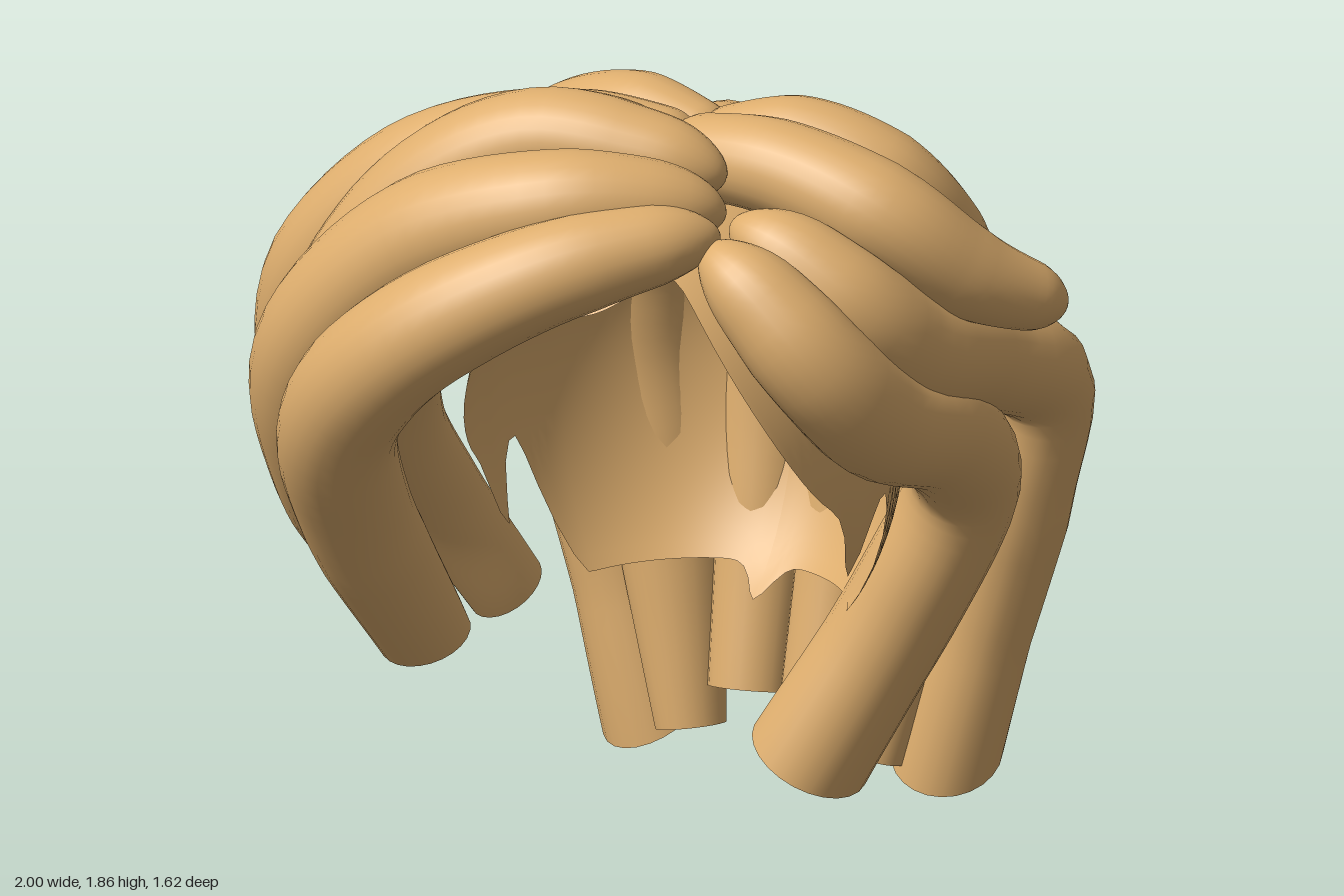
import * as THREE from 'three';

const hair = new THREE.MeshStandardMaterial({ color: 0xdeae6e });
const lining = new THREE.MeshStandardMaterial({ color: 0xdeae6e, side: THREE.DoubleSide });
const HEAD = new THREE.Vector3(0.12, 1.0, -0.05);
const MIRROR = 0.25; // the crown is symmetric about x = 0.125

// Linear lookup in a short list of values
function sample(list, t) {
  const f = t * (list.length - 1), i = Math.min(Math.floor(f), list.length - 2);
  return THREE.MathUtils.lerp(list[i], list[i + 1], f - i);
}

// One lock: an ellipse swept along a curve, its flat side facing the head.
// slant tilts the cut end along z; round closes the tip instead.
function lock(name, points, widths, { slant = 0, round = false } = {}) {
  const curve = new THREE.CatmullRomCurve3(points.map(p => new THREE.Vector3(...p)), false, 'centripetal');
  const rows = 56, sides = 24, pos = [], idx = [];
  const ring = (P, T, side, N, w, shear) => {
    for (let j = 0; j < sides; j++) {
      const a = (j / sides) * Math.PI * 2;
      const off = side.clone().multiplyScalar(Math.cos(a) * w).addScaledVector(N, Math.sin(a) * w * 0.95);
      off.addScaledVector(T, off.z * shear).add(P);
      pos.push(off.x, off.y, off.z);
    }
  };
  const dome = (t, len) => (t >= len ? 1 : Math.sqrt(Math.max(1e-4, 1 - (1 - t / len) ** 2)));
  let P, T, N, side, w;
  for (let i = 0; i <= rows; i++) {
    // rows are packed toward both ends so the rounding is smooth
    const t = 0.5 - 0.5 * Math.cos((i / rows) * Math.PI);
    P = curve.getPointAt(t);
    T = curve.getTangentAt(t);
    N = P.clone().sub(HEAD);
    N.addScaledVector(T, -N.dot(T)).normalize();
    side = N.clone().cross(T);
    w = sample(widths, t) * dome(t, 0.09) * (round ? dome(1 - t, 0.09) : 1);
    ring(P, T, side, N, w, slant * t ** 8);
  }
  for (let i = 0; i < rows; i++) {
    for (let j = 0; j < sides; j++) {
      const a = i * sides + j, b = i * sides + ((j + 1) % sides);
      idx.push(a, b, a + sides, b, b + sides, a + sides);
    }
  }
  // separate ring keeps the cut end crisp
  const base = pos.length / 3;
  ring(P, T, side, N, w, slant);
  pos.push(P.x, P.y, P.z);
  for (let j = 0; j < sides; j++) idx.push(base + sides, base + j, base + ((j + 1) % sides));

  const geo = new THREE.BufferGeometry();
  geo.setAttribute('position', new THREE.Float32BufferAttribute(pos, 3));
  geo.setIndex(idx);
  geo.computeVertexNormals();
  const mesh = new THREE.Mesh(geo, hair);
  mesh.name = name;
  return mesh;
}

// Thin cap under the locks, open at the face, with pointed lower edges
function scalpCap() {
  const geo = new THREE.SphereGeometry(1, 120, 32, 0, Math.PI * 2, 0, 3);
  const p = geo.attributes.position, uv = geo.attributes.uv;
  const { lerp, smoothstep, clamp } = THREE.MathUtils;
  const bump = (x, c, s) => Math.exp(-(((x - c) / s) ** 2));
  for (let i = 0; i < p.count; i++) {
    const a = (uv.getX(i) - 0.5) * Math.PI * 2, s = Math.abs(a); // 0 is the face
    let rim = lerp(1.4, 0.88, smoothstep(s, 0.5, 1.35));
    rim = lerp(rim, 0.53, smoothstep(s, 1.65, 1.95));
    rim += 0.08 * bump(a, 0.45, 0.3) - 0.19 * bump(s, 1.46, 0.1) - 0.07 * bump(s, Math.PI, 0.12);
    const vMax = Math.acos(clamp((rim - 1) / 0.62, -0.95, 0.95));
    const v = (1 - uv.getY(i)) * vMax;
    const r = v < Math.PI / 2 ? Math.sin(v) : Math.sin(v) ** 0.75;
    const deep = 0.56 + 0.16 * Math.max(0, Math.cos(a));
    p.setXYZ(i, 0.11 + 0.5 * r * Math.sin(a), 1 + 0.62 * Math.cos(v), -0.05 + deep * r * Math.cos(a));
  }
  geo.computeVertexNormals();
  const mesh = new THREE.Mesh(geo, lining);
  mesh.name = 'scalpCap';
  return mesh;
}

export function createModel() {
  const group = new THREE.Group();
  group.name = 'hair';
  group.add(scalpCap());

  const one = (...args) => group.add(lock(...args));
  const both = (name, points, widths, options) => {
    one(name + 'Left', points, widths, options);
    one(name + 'Right', points.map(([x, y, z]) => [MIRROR - x, y, z]), widths, options);
  };

  // Fringe swept across the forehead
  one('fringeFront',
    [[0.38, 1.6, 0.32], [0.26, 1.59, 0.44], [0.03, 1.52, 0.6], [-0.27, 1.34, 0.67], [-0.49, 1.1, 0.58],
      [-0.56, 0.82, 0.38], [-0.52, 0.41, 0.08]],
    [0.08, 0.12, 0.14, 0.15, 0.15, 0.14, 0.115], { slant: -0.3 });
  one('fringeMiddle',
    [[0.35, 1.62, 0.23], [0.24, 1.65, 0.31], [0, 1.655, 0.44], [-0.35, 1.52, 0.46], [-0.65, 1.2, 0.4],
      [-0.72, 0.85, 0.2], [-0.735, 0.48, -0.14]],
    [0.09, 0.13, 0.15, 0.15, 0.15, 0.14, 0.115], { slant: -0.3 });
  one('fringeUpper',
    [[0.31, 1.68, 0.15], [0.1, 1.73, 0.2], [-0.14, 1.74, 0.24], [-0.4, 1.6, 0.29], [-0.65, 1.27, 0.31],
      [-0.75, 1.0, 0.18], [-0.77, 0.75, 0]],
    [0.09, 0.12, 0.13, 0.13, 0.12, 0.11, 0.06], { round: true });
  one('fringeBack',
    [[0.18, 1.67, 0.06], [-0.1, 1.71, 0.13], [-0.45, 1.61, 0.19], [-0.74, 1.32, 0.18], [-0.82, 1.02, 0.08],
      [-0.82, 0.76, -0.14], [-0.9, 0.5, -0.42]],
    [0.1, 0.13, 0.14, 0.14, 0.13, 0.12, 0.115], { slant: -0.2 });

  // Short flicked locks over the crown
  both('crownFront',
    [[0.08, 1.67, 0], [0.38, 1.68, 0.02], [0.66, 1.595, 0.01], [0.82, 1.44, -0.12], [0.97, 1.33, -0.31]],
    [0.1, 0.12, 0.13, 0.115, 0.07], { round: true });
  both('crownBack',
    [[0.08, 1.65, -0.14], [0.35, 1.68, -0.18], [0.55, 1.6, -0.23], [0.65, 1.44, -0.36], [0.71, 1.24, -0.47]],
    [0.08, 0.115, 0.12, 0.09, 0.03], { round: true });

  // Long locks running round the side and down
  one('sideFrontLeft',
    [[0.36, 1.58, 0.36], [0.5, 1.48, 0.37], [0.65, 1.31, 0.33], [0.71, 1.14, 0.15], [0.73, 1.03, -0.13],
      [0.68, 0.85, -0.36], [0.53, 0.55, -0.38], [0.29, 0.12, -0.32]],
    [0.09, 0.13, 0.14, 0.14, 0.14, 0.145, 0.145, 0.155], { slant: 0.2 });
  one('sideFrontRight',
    [[-0.2, 1.5, 0.4], [-0.43, 1.25, 0.36], [-0.54, 1.0, 0.2], [-0.53, 0.75, 0], [-0.44, 0.47, -0.18]],
    [0.1, 0.12, 0.12, 0.11, 0.1]);
  both('sideBack',
    [[0.36, 1.6, 0.22], [0.5, 1.54, 0.21], [0.66, 1.41, 0.16], [0.72, 1.28, 0], [0.75, 1.18, -0.3],
      [0.78, 1.05, -0.56], [0.69, 0.75, -0.61], [0.51, 0.08, -0.6]],
    [0.09, 0.13, 0.14, 0.13, 0.13, 0.145, 0.13, 0.135], { slant: 0.5 });

  // Locks covering the back of the head
  both('backInner',
    [[0.19, 1.58, -0.2], [0.23, 1.55, -0.43], [0.245, 1.3, -0.64], [0.25, 1.0, -0.69], [0.235, 0.6, -0.62],
      [0.22, 0.19, -0.52]],
    [0.09, 0.13, 0.135, 0.13, 0.11, 0.1]);
  both('backOuter',
    [[0.28, 1.56, -0.2], [0.42, 1.5, -0.4], [0.51, 1.26, -0.55], [0.54, 1.0, -0.59], [0.47, 0.6, -0.58],
      [0.37, 0.08, -0.51]],
    [0.1, 0.145, 0.16, 0.15, 0.12, 0.085]);
  return group;
}
